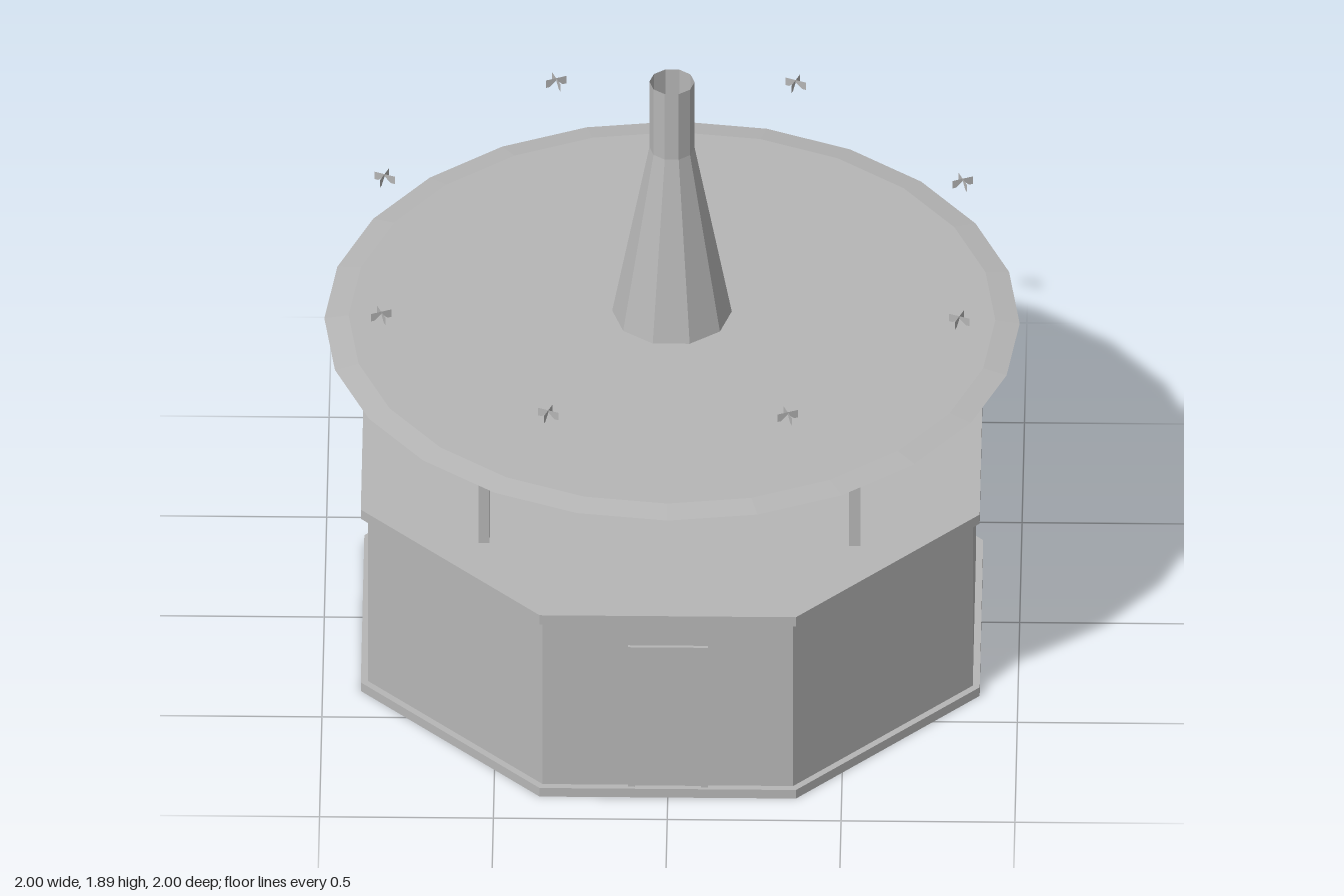
import * as THREE from 'three';

export function createModel() {
  const model = new THREE.Group();
  const grey = new THREE.MeshStandardMaterial({ color: 0xb6b6b6, flatShading: true, side: THREE.DoubleSide });
  grey.name = 'plain grey';

  const add = (name, geometry, x = 0, y = 0, z = 0, parent = model) => {
    const mesh = new THREE.Mesh(geometry, grey);
    mesh.name = name;
    mesh.position.set(x, y, z);
    parent.add(mesh);
    return mesh;
  };

  // Prism or frustum standing between two heights
  const prism = (name, rTop, rBottom, y0, y1, sides, turn, open = false) =>
    add(name, new THREE.CylinderGeometry(rTop, rBottom, y1 - y0, sides, 1, open, turn), 0, (y0 + y1) / 2, 0);

  // Octagonal room with trims, flat sides facing the axes
  const octagon = (name, apothem, y0, y1) => {
    const r = apothem / Math.cos(Math.PI / 8);
    prism(name, r, r, y0, y1, 8, Math.PI / 8);
  };
  octagon('walls', 0.87, 0.03, 0.605);
  octagon('baseTrim', 0.89, 0, 0.03);
  octagon('topTrim', 0.89, 0.605, 0.637);

  // Door and its frame on the front wall
  const frame = new THREE.Shape();
  [[-0.115, 0.03], [-0.115, 0.52], [0.115, 0.52], [0.115, 0.03],
    [0.095, 0.03], [0.095, 0.505], [-0.095, 0.505], [-0.095, 0.03]]
    .forEach(([x, y], i) => (i ? frame.lineTo(x, y) : frame.moveTo(x, y)));
  add('doorFrame', new THREE.ExtrudeGeometry(frame, { depth: 0.012, bevelEnabled: false }), 0, 0, 0.868);
  add('door', new THREE.BoxGeometry(0.19, 0.475, 0.006), 0, 0.2675, 0.87);

  // Four corner posts joined by a square of beams
  for (let i = 0; i < 4; i++) {
    const side = new THREE.Group();
    side.name = 'supportSide';
    side.rotation.y = i * Math.PI / 2;
    model.add(side);
    add('post', new THREE.BoxGeometry(0.032, 0.375, 0.032), 0.533, 0.8375, 0.533, side);
    add('beam', new THREE.BoxGeometry(1.034, 0.025, 0.025), 0, 0.994, 0.533, side);
  }

  // Thin round canopy with a shallow sloping rim
  const canopy = [[0, 1.05], [1, 1.05], [0.93, 1.061], [0, 1.061]].map(([x, y]) => new THREE.Vector2(x, y));
  add('canopy', new THREE.LatheGeometry(canopy, 24));

  // Ten-sided hood below the canopy and open chimney above it
  prism('hood', 0.14, 0.088, 0.96, 1.027, 10, Math.PI / 10);
  prism('chimneyCone', 0.065, 0.172, 1.085, 1.66, 10, Math.PI / 10, true);
  prism('chimneyPipe', 0.065, 0.065, 1.66, 1.89, 10, Math.PI / 10, true);

  // Ring of eight tiny notched clips, made of upright plates
  const clip = new THREE.Shape();
  [[-0.032, -0.013], [-0.032, 0.013], [0.032, 0.013], [0.032, -0.013], [0.02, -0.013], [0, 0.005], [-0.02, -0.013]]
    .forEach(([x, y], i) => (i ? clip.lineTo(x, y) : clip.moveTo(x, y)));
  const plate = new THREE.ShapeGeometry(clip);
  for (let i = 0; i < 8; i++) {
    const a = (i + 0.5) * Math.PI / 4;
    const unit = new THREE.Group();
    unit.name = 'clip';
    unit.position.set(0.9 * Math.sin(a), 1.303, 0.9 * Math.cos(a));
    unit.rotation.y = a;
    model.add(unit);
    add('clipFront', plate, 0, 0, 0, unit);
    add('clipCross', plate, 0, 0, 0, unit).rotation.y = Math.PI / 2;
  }
  return model;
}
